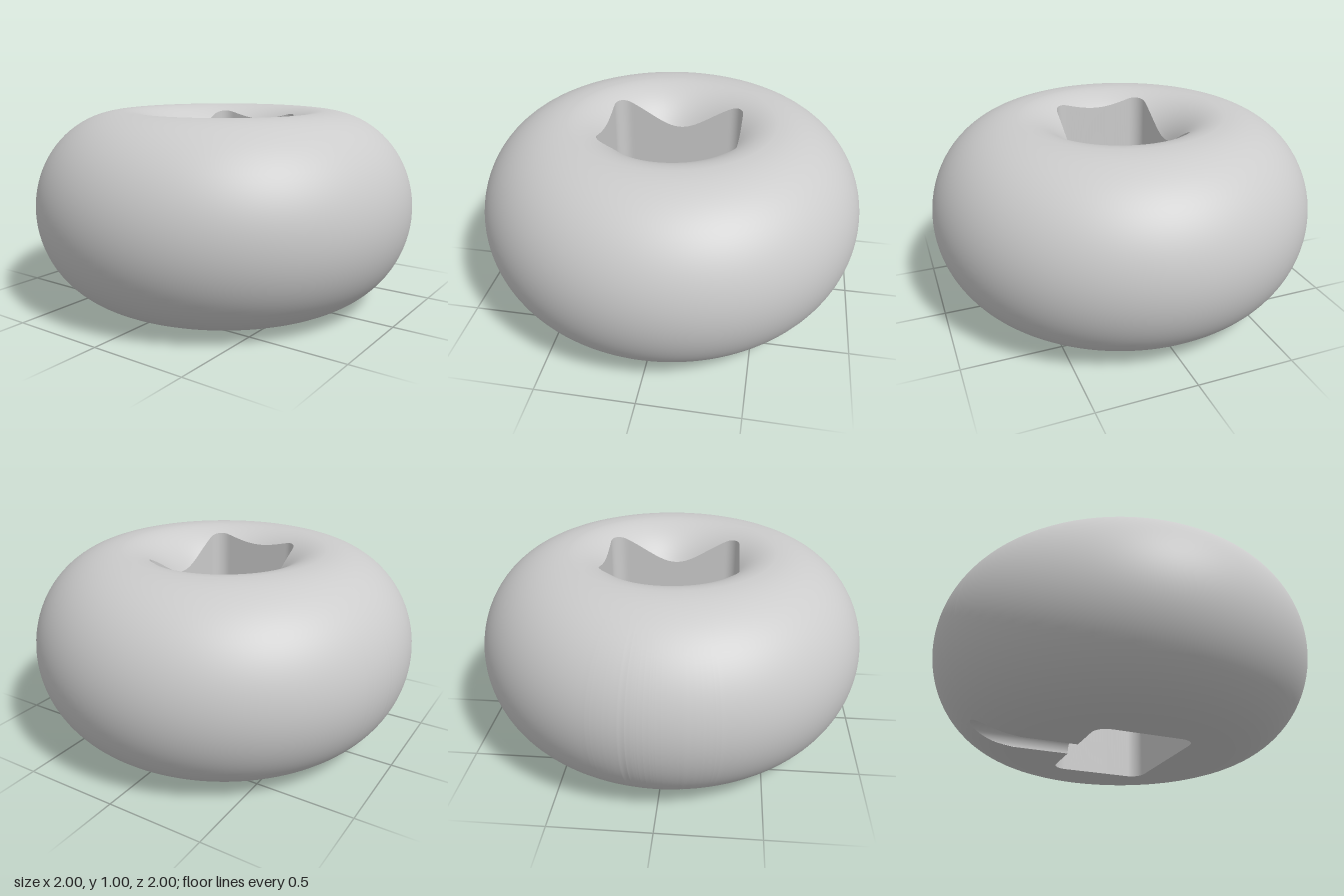
import * as THREE from 'three';

const RING = 0.535;            // radius of the top crest and of the flat base
const BULGE = 0.465;           // outward reach of the rounded side
const DIP = 0.36;              // inward reach of the curve into the hole
const HALF = 0.5;              // half height
const HX = 0.35, HZ = 0.26, CORNER = 0.075; // rounded rectangular hole
const GROOVE = 0.08;           // radius of the channel under the back

// Root of a function that rises from negative to positive
function bisect(f, lo, hi) {
  for (let i = 0; i < 40; i++) {
    const m = (lo + hi) / 2;
    if (f(m) < 0) lo = m; else hi = m;
  }
  return (lo + hi) / 2;
}

const grooveHeight = (x) => Math.sqrt(Math.max(0, GROOVE * GROOVE - x * x));
const outer = (t) => [RING + BULGE * Math.sin(t), HALF - HALF * Math.cos(t)];
const dipHeight = (r) => HALF + HALF * Math.sqrt(Math.max(0, 1 - ((RING - r) / DIP) ** 2));

// Point at angle a (0 is the back, -z), radius r, height y
const polar = (a, r, y) => [r * Math.sin(a), y, -r * Math.cos(a)];

// Distance from the axis to the hole's wall along angle a
function holeRadius(a) {
  return bisect((r) => {
    const qx = Math.abs(r * Math.sin(a)) - HX + CORNER;
    const qz = Math.abs(r * Math.cos(a)) - HZ + CORNER;
    return Math.hypot(Math.max(qx, 0), Math.max(qz, 0)) + Math.min(Math.max(qx, qz), 0) - CORNER;
  }, 0, 0.6);
}

// Skin a list of columns, each a list of points
function skin(name, columns, closed) {
  const n = columns.length, m = columns[0].length, index = [];
  for (let i = 0; i < (closed ? n : n - 1); i++) {
    for (let j = 0; j < m - 1; j++) {
      const a = i * m + j, b = ((i + 1) % n) * m + j;
      index.push(a, a + 1, b, b, a + 1, b + 1);
    }
  }
  const geo = new THREE.BufferGeometry();
  geo.setAttribute('position', new THREE.Float32BufferAttribute(columns.flat(2), 3));
  geo.setIndex(index);
  geo.computeVertexNormals();
  const mesh = new THREE.Mesh(geo, new THREE.MeshStandardMaterial({ color: 0xcccccc, side: THREE.DoubleSide }));
  mesh.name = name;
  return mesh;
}

const steps = (n, f) => Array.from({ length: n + 1 }, (_, k) => f(k / n));

export function createModel() {
  const group = new THREE.Group();
  group.name = 'roundedRing';

  // Channel cross-section, and where each of its lines leaves the rounded side
  const channel = steps(24, (k) => {
    const x = -GROOVE * Math.cos(k * Math.PI), y = GROOVE * Math.sin(k * Math.PI);
    const r = RING + BULGE * Math.sqrt(1 - ((HALF - y) / HALF) ** 2);
    return { x, y, end: -Math.sqrt(r * r - x * x) };
  });

  // Column angles: even, plus exact ones along the channel's edges
  const angles = [];
  for (let i = 0; i < 240; i++) angles.push(-Math.PI + (i + 0.5) * Math.PI / 120);
  for (const c of channel) angles.push(Math.atan2(c.x, -c.end), Math.atan2(c.x, HZ));
  angles.sort((a, b) => a - b);

  const shell = [], wall = [], base = [];
  for (const a of angles) {
    const hole = holeRadius(a), s = Math.sin(a), back = Math.cos(a) > 0;

    // Rounded side starts above the channel at the back, then dips into the hole
    const start = back && Math.abs(s) * RING < GROOVE
      ? bisect((t) => outer(t)[1] - grooveHeight(outer(t)[0] * s), 0, 1) : 0;
    const side = steps(44, (k) => polar(a, ...outer(start + (Math.PI - start) * k)));
    const dip = steps(16, (k) => {
      const r = RING + (hole - RING) * k;
      return polar(a, r, dipHeight(r));
    });
    shell.push([...side, ...dip.slice(1)]);

    // Hole wall, notched by the channel
    const foot = back ? grooveHeight(hole * s) * (Math.abs(hole * Math.cos(a) - HZ) < 1e-3 ? 1 : 0) : 0;
    wall.push([polar(a, hole, dipHeight(hole)), polar(a, hole, foot)]);

    // Flat base, interrupted by the channel
    const inner = back ? Math.min(RING, Math.max(hole, GROOVE / Math.max(Math.abs(s), 1e-6))) : hole;
    base.push([polar(a, inner, 0), polar(a, RING, 0)]);
  }
  group.add(skin('body', shell, true), skin('holeWall', wall, true), skin('base', base, true));

  // Half-round channel from the hole out to the back
  group.add(skin('channel', channel.map((c) => [[c.x, c.y, -HZ], [c.x, c.y, c.end]]), false));
  return group;
}
